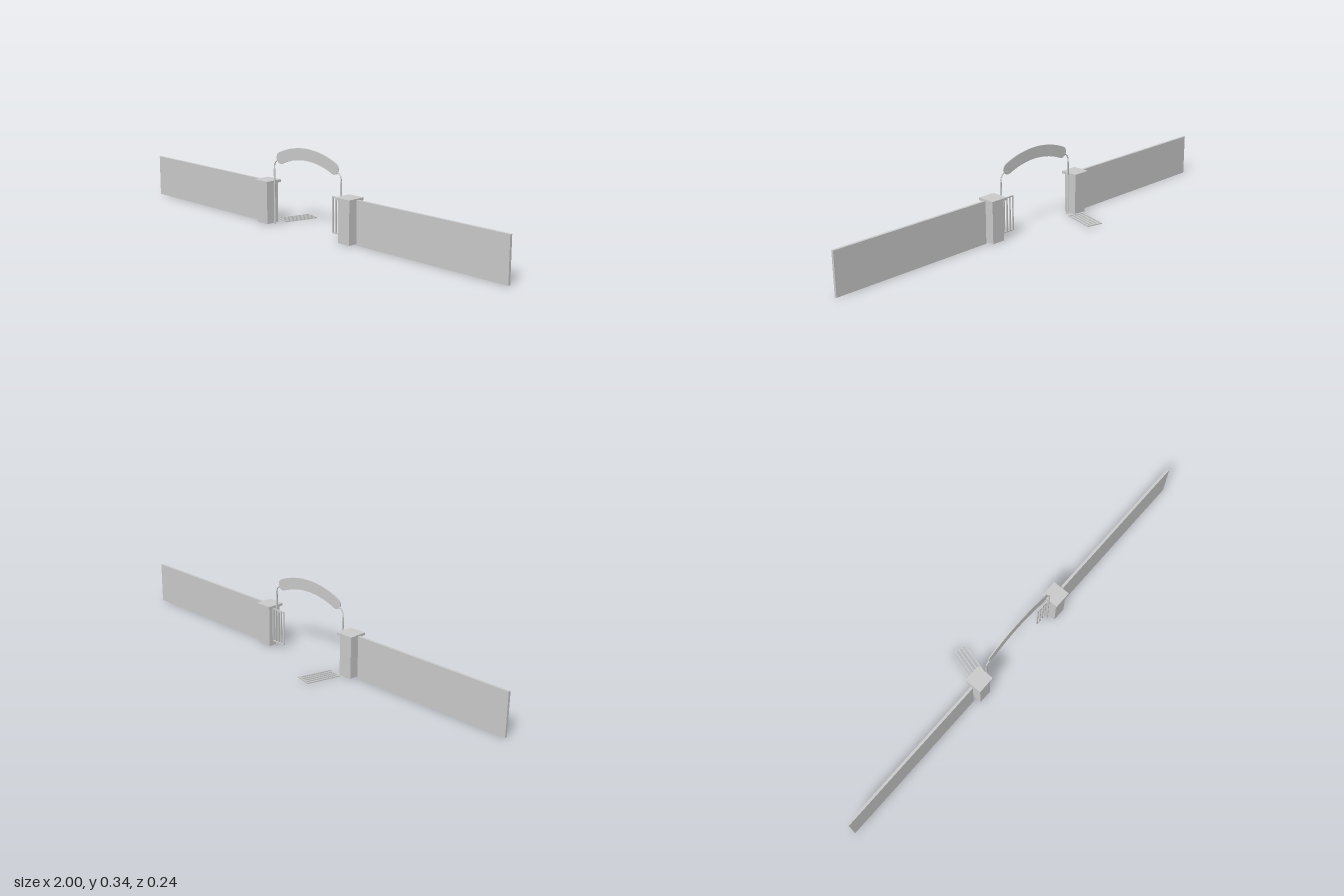
import * as THREE from 'three';

const Z = 0.078; // depth of the fence line
const material = new THREE.MeshStandardMaterial({ color: 0xcccccc, flatShading: true });

function add(parent, name, geometry, x = 0, y = 0, z = 0) {
  const mesh = new THREE.Mesh(geometry, material);
  mesh.name = name;
  mesh.position.set(x, y, z);
  parent.add(mesh);
  return mesh;
}

const box = (w, h, d) => new THREE.BoxGeometry(w, h, d);

// Barred gate leaf, centred on its own origin
function gateLeaf(name) {
  const leaf = new THREE.Group();
  leaf.name = name;
  const w = 0.07, h = 0.15, t = 0.005, bars = 5;
  for (const s of [-1, 1]) add(leaf, 'gateRail', box(w, t, t), 0, s * (h - t) / 2, 0);
  for (let i = 0; i < bars; i++) {
    add(leaf, 'gateBar', box(t, h - 2 * t, t), (i / (bars - 1) - 0.5) * (w - t), 0, 0);
  }
  return leaf;
}

// Curved band with rounded ends
function archSign() {
  const R = 0.38, half = 0.0245, cy = 0.3175 - R, a = 0.42;
  const l = Math.PI / 2 + a, r = Math.PI / 2 - a;
  const shape = new THREE.Shape();
  shape.absarc(0, cy, R + half, r, l, false);
  shape.absarc(R * Math.cos(l), cy + R * Math.sin(l), half, l, l + Math.PI, false);
  shape.absarc(0, cy, R - half, l, r, true);
  shape.absarc(R * Math.cos(r), cy + R * Math.sin(r), half, r + Math.PI, r + 2 * Math.PI, false);
  const geometry = new THREE.ExtrudeGeometry(shape, { depth: 0.004, bevelEnabled: false, curveSegments: 16 });
  return geometry.translate(0, 0, -0.002);
}

export function createModel() {
  const group = new THREE.Group();

  // Walls, pillars and posts on both sides
  for (const s of [-1, 1]) {
    add(group, 'wall', box(0.716, 0.18, 0.011), s * 0.642, 0.09, Z);
    add(group, 'pillar', box(0.06, 0.172, 0.06), s * 0.239, 0.086, Z);
    add(group, 'pillarCap', box(0.078, 0.011, 0.078), s * 0.239, 0.1775, Z);
    add(group, 'post', new THREE.CylinderGeometry(0.004, 0.004, 0.235, 10), s * 0.194, 0.1175, Z);

    // Thin bracket bending inward to the sign
    const bend = new THREE.CatmullRomCurve3([
      [0.194, 0.23], [0.194, 0.25], [0.188, 0.263], [0.178, 0.271], [0.165, 0.276],
    ].map(([x, y]) => new THREE.Vector3(s * x, y, 0)));
    add(group, 'signBracket', new THREE.TubeGeometry(bend, 14, 0.0025, 8), 0, 0, Z);
  }

  add(group, 'archSign', archSign(), 0, 0, Z);

  // One leaf still hanging, the other lying on the ground
  const hanging = gateLeaf('hangingGate');
  hanging.position.set(0.173, 0.095, 0.068);
  group.add(hanging);

  const fallen = gateLeaf('fallenGate');
  fallen.rotation.set(-Math.PI / 2, 0, -0.255);
  fallen.position.set(-0.179, 0.0075, -0.037);
  group.add(fallen);

  return group;
}
